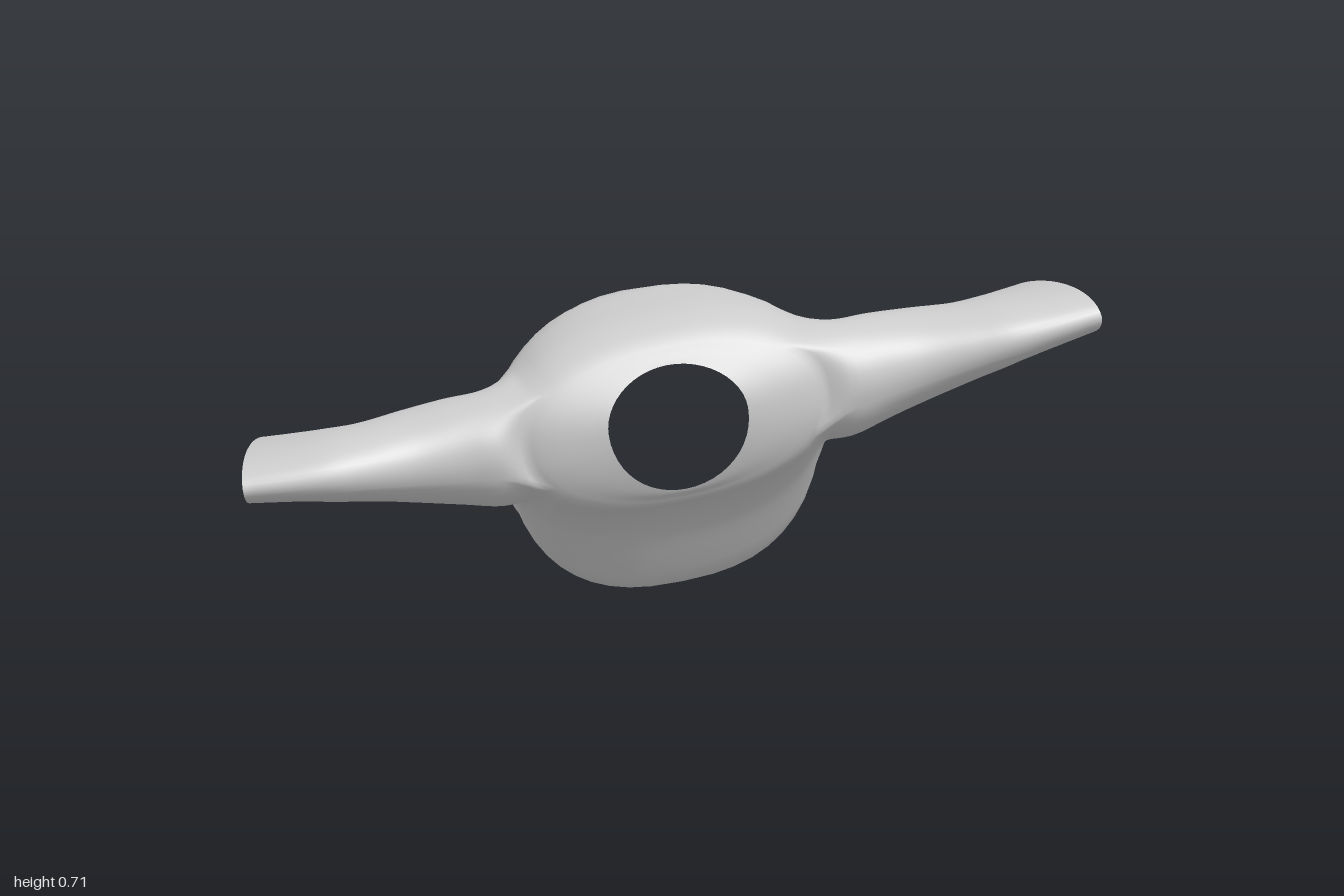
import * as THREE from 'three';

const AROUND = 48, SUB = 3, SLEEVE_SUB = 4;

// Torso sections, waist to neck: z, top, bottom, half width, widest height, squareness, tilt, sag
const TORSO = [
  [-0.30, 0.15, -0.475, 0.335, -0.16, 2.0, 0.04, 0],
  [-0.20, 0.185, -0.455, 0.335, -0.15, 2.1, 0.02, 0],
  [-0.10, 0.213, -0.44, 0.34, -0.13, 2.3, 0, 0],
  [-0.03, 0.228, -0.458, 0.35, -0.10, 2.5, 0, 0],
  [0.02, 0.228, -0.445, 0.365, -0.06, 2.5, 0, 0],
  [0.07, 0.225, -0.385, 0.375, -0.03, 2.5, 0, 0],
  [0.13, 0.22, -0.305, 0.38, -0.02, 2.5, 0, 0],
  [0.19, 0.21, -0.25, 0.38, -0.015, 2.5, 0, 0],
  [0.25, 0.19, -0.22, 0.375, -0.01, 2.4, 0, 0.01],
  [0.29, 0.165, -0.205, 0.35, -0.01, 2.3, 0, 0.02],
  [0.313, 0.145, -0.19, 0.295, -0.01, 2.2, 0, 0.03],
  [0.328, 0.13, -0.18, 0.225, -0.01, 2.1, 0, 0.035],
  [0.338, 0.12, -0.172, 0.163, -0.005, 2.0, 0, 0.04],
];

// Sleeve sections, shoulder to cuff: x at front, x at back, height, half height, z back, z front, pinch
const SLEEVE = [
  [0.41, 0.405, -0.015, 0.135, 0.07, 0.313, 0],
  [0.50, 0.49, -0.010, 0.122, 0.04, 0.305, 0],
  [0.60, 0.59, -0.004, 0.105, 0.02, 0.300, 0],
  [0.71, 0.69, 0.006, 0.088, 0.025, 0.31, 0.05],
  [0.80, 0.755, 0.014, 0.082, -0.01, 0.318, 0.25],
  [0.90, 0.80, 0.020, 0.074, -0.065, 0.308, 0.5],
  [1.005, 0.862, 0.026, 0.067, -0.11, 0.29, 0.75],
];

// Armhole block in the torso grid
const ROW0 = 5 * SUB, ROW1 = 9 * SUB, LOW = -4, HIGH = 5;

// Smooth interpolation through a table of sections
function section(table, t) {
  const last = table.length - 1;
  const i = Math.min(Math.floor(t), last - 1), f = t - i;
  const p = [i - 1, i, i + 1, i + 2].map(k => table[Math.max(0, Math.min(last, k))]);
  return p[1].map((b, c) => {
    const a = p[0][c], d = p[2][c], e = p[3][c];
    return b + 0.5 * f * (d - a + f * (2 * a - 5 * b + 4 * d - e + f * (3 * (b - d) + e - a)));
  });
}

const power = (x, n) => Math.sign(x) * Math.pow(Math.abs(x), n);

function torsoPoint([z, top, bottom, half, mid, n, tilt, sag], angle) {
  const c = Math.cos(angle), s = Math.sin(angle);
  const reach = s > 0 ? top - mid : mid - bottom;
  return new THREE.Vector3(half * power(c, 2 / n), mid + reach * power(s, 2 / n), z - tilt * s - sag * s * s);
}

function sleevePoint([xFront, xBack, y, h, z0, z1, pinch], angle, side) {
  const c = Math.cos(angle), f = (c + 1) / 2;
  const x = xBack + (xFront - xBack) * Math.pow(f, 0.85);
  const height = h * Math.sin(angle) * (1 - pinch * (0.5 - c / 2) * 0.5);
  return new THREE.Vector3(side * x, y + height, (z0 + z1) / 2 + c * (z1 - z0) / 2);
}

export function createModel() {
  const points = [];
  const index = { torso: [], leftSleeve: [], rightSleeve: [] };
  const quad = (list, a, b, c, d, flip) =>
    flip ? list.push(a, c, b, a, d, c) : list.push(a, b, c, a, c, d);

  // Torso tube, leaving out the armholes
  const rows = (TORSO.length - 1) * SUB;
  const id = (j, i) => j * AROUND + (i + AROUND) % AROUND;
  for (let j = 0; j <= rows; j++) {
    const s = section(TORSO, j / SUB);
    for (let i = 0; i < AROUND; i++) points.push(torsoPoint(s, i / AROUND * Math.PI * 2));
  }
  const inArmhole = (j, i) => {
    if (j < ROW0 || j >= ROW1) return false;
    const left = i >= AROUND / 2 ? i - AROUND : i;
    const right = AROUND / 2 - 1 - i;
    return (left >= LOW && left < HIGH) || (right >= LOW && right < HIGH);
  };
  for (let j = 0; j < rows; j++)
    for (let i = 0; i < AROUND; i++)
      if (!inArmhole(j, i)) quad(index.torso, id(j, i), id(j, i + 1), id(j + 1, i + 1), id(j + 1, i));

  // Sleeves grow out of the armhole edges
  for (const side of [1, -1]) {
    const list = side > 0 ? index.leftSleeve : index.rightSleeve;
    const col = i => side > 0 ? i : AROUND / 2 - i;
    const loop = [];
    for (let i = LOW; i < HIGH; i++) loop.push(id(ROW0, col(i)));
    for (let j = ROW0; j < ROW1; j++) loop.push(id(j, col(HIGH)));
    for (let i = HIGH; i > LOW; i--) loop.push(id(ROW1, col(i)));
    for (let j = ROW1; j > ROW0; j--) loop.push(id(j, col(LOW)));

    const box = new THREE.Box3().setFromPoints(loop.map(k => points[k]));
    const mid = box.getCenter(new THREE.Vector3()), size = box.getSize(new THREE.Vector3());
    const paths = loop.map(k => {
      const p = points[k];
      const angle = Math.atan2((p.y - mid.y) / size.y, (p.z - mid.z) / size.z);
      return new THREE.CatmullRomCurve3([p, ...SLEEVE.map(s => sleevePoint(s, angle, side))]);
    });

    let ring = loop;
    const steps = SLEEVE.length * SLEEVE_SUB;
    for (let r = 1; r <= steps; r++) {
      const next = paths.map(path => points.push(path.getPoint(r / steps)) - 1);
      ring.forEach((a, i) => {
        const n = (i + 1) % ring.length;
        quad(list, a, ring[n], next[n], next[i], side < 0);
      });
      ring = next;
    }
  }

  // Shared smooth normals keep the shoulder joins seamless
  const shell = new THREE.BufferGeometry().setFromPoints(points);
  shell.setIndex(Object.values(index).flat());
  shell.rotateZ(0.163).translate(0, 0.482, 0);
  shell.computeVertexNormals();

  const material = new THREE.MeshStandardMaterial({ color: 0xcccccc, side: THREE.DoubleSide });
  const group = new THREE.Group();
  group.name = 'shirt';
  for (const [name, faces] of Object.entries(index)) {
    const part = new THREE.BufferGeometry();
    part.setAttribute('position', shell.attributes.position);
    part.setAttribute('normal', shell.attributes.normal);
    part.setIndex(faces);
    const mesh = new THREE.Mesh(part, material);
    mesh.name = name;
    group.add(mesh);
  }
  return group;
}
